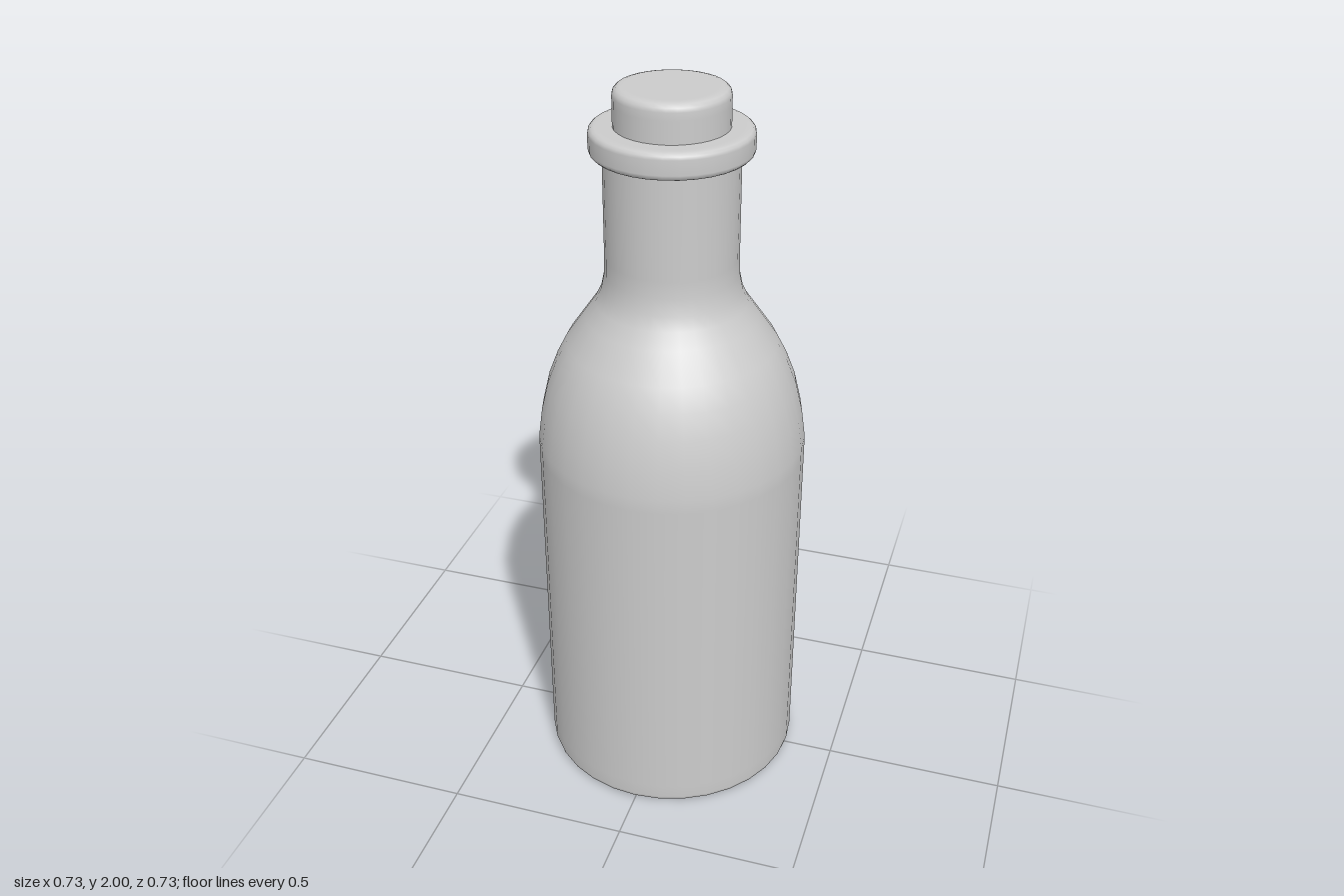
import * as THREE from 'three';

const SEGMENTS = 32;

// Revolves [radius, height] points, listed from bottom to top.
function turned(name, points) {
  const profile = points.map(([r, y]) => new THREE.Vector2(r, y));
  const mesh = new THREE.Mesh(
    new THREE.LatheGeometry(profile, SEGMENTS),
    new THREE.MeshStandardMaterial({ color: 0xcccccc })
  );
  mesh.name = name;
  return mesh;
}

// Points of a rounded outer corner, from angle a0 to a1 in quarter turns.
function corner(r, y, radius, a0, a1, steps = 3) {
  return Array.from({ length: steps + 1 }, (_, i) => {
    const a = (a0 + (a1 - a0) * i / steps) * Math.PI / 2;
    return [r + radius * Math.cos(a), y + radius * Math.sin(a)];
  });
}

export function createModel() {
  const bottle = new THREE.Group();
  bottle.name = 'bottle';

  // Base, straight wall, curved shoulder and neck
  bottle.add(turned('body', [
    [0, 0], [0.33, 0],
    ...corner(0.343, 0.02, 0.02, -1, 0),
    [0.363, 0.06], [0.363, 1.0], [0.363, 1.04],
    [0.352, 1.12], [0.333, 1.2], [0.308, 1.265], [0.28, 1.32],
    [0.228, 1.395], [0.2, 1.435], [0.184, 1.47], [0.175, 1.515],
    [0.174, 1.56], [0.174, 1.86],
  ]));

  // Rounded collar around the mouth
  bottle.add(turned('collar', [
    [0.14, 1.832], [0.18, 1.832],
    ...corner(0.192, 1.848, 0.016, -1, 0),
    ...corner(0.192, 1.886, 0.016, 0, 1),
    [0.18, 1.902], [0.14, 1.902],
  ]));

  // Stopper
  bottle.add(turned('stopper', [
    [0, 1.84], [0.147, 1.84], [0.147, 1.86], [0.147, 1.96],
    ...corner(0.127, 1.98, 0.02, 0, 1),
    [0.115, 2], [0, 2],
  ]));

  return bottle;
}
